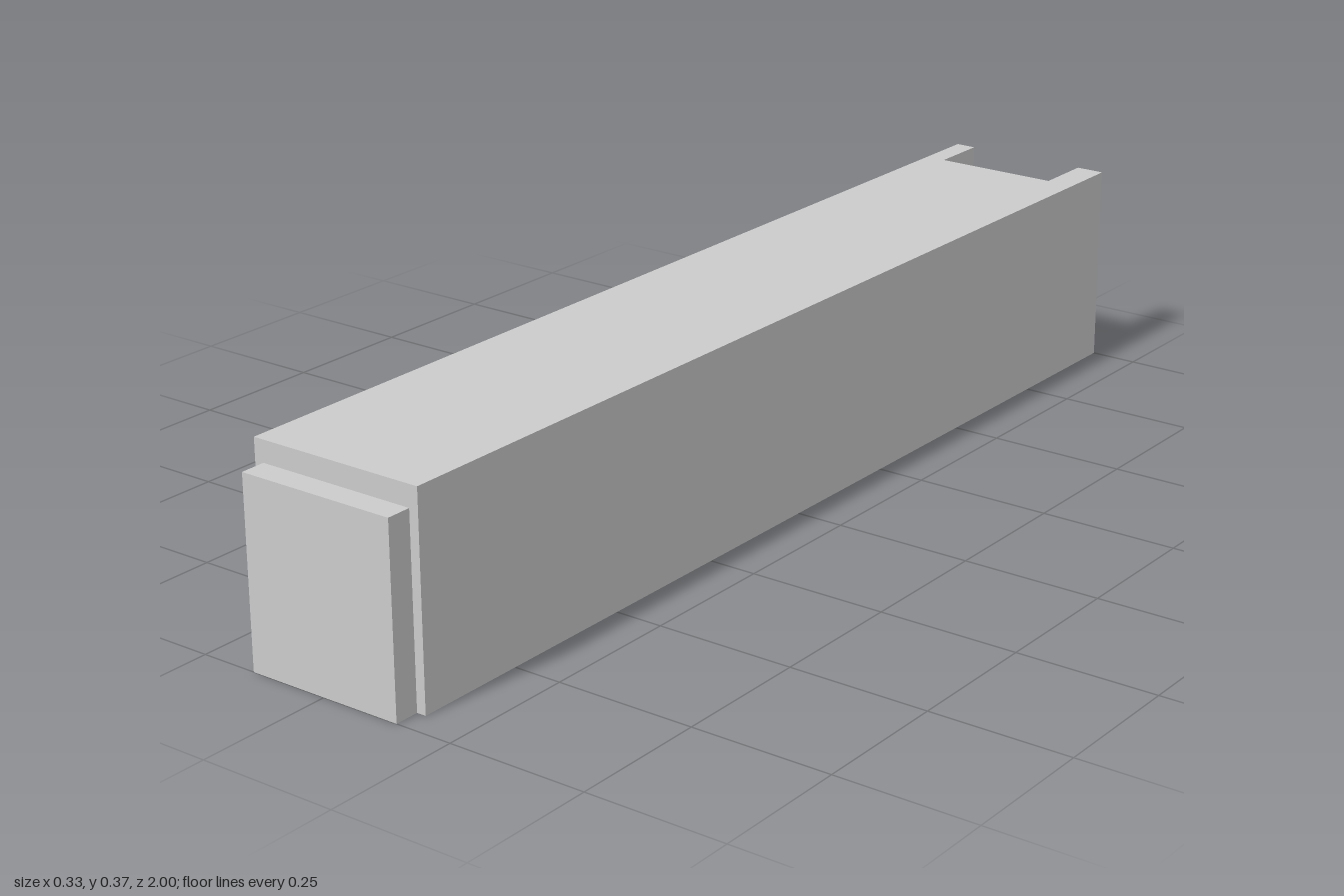
import * as THREE from 'three';

export function createModel() {
  const model = new THREE.Group();
  const mat = new THREE.MeshStandardMaterial({ color: 0xcccccc, flatShading: true });

  const H = 0.367, X = 0.163;            // outer height and half width
  const BACK = -1, FRONT = 0.955;        // ends of the side walls
  const INL = -0.125, INR = 0.11;        // inner faces of the two side walls
  const MOUTH = -0.89, PLATE = 0.062;    // start and thickness of floor and roof

  function add(name, geometry, x = 0, y = 0, z = 0) {
    const mesh = new THREE.Mesh(geometry, mat);
    mesh.name = name;
    mesh.position.set(x, y, z);
    model.add(mesh);
    return mesh;
  }

  // Box given by its two opposite corners
  function block(name, x0, x1, y0, y1, z0, z1) {
    return add(name, new THREE.BoxGeometry(x1 - x0, y1 - y0, z1 - z0),
      (x0 + x1) / 2, (y0 + y1) / 2, (z0 + z1) / 2);
  }

  // Side wall with hexagonal sight holes, drawn in the z-y plane
  const wall = new THREE.Shape([
    new THREE.Vector2(BACK, 0), new THREE.Vector2(FRONT, 0),
    new THREE.Vector2(FRONT, H), new THREE.Vector2(BACK, H),
  ]);
  for (let i = 0; i < 4; i++) {
    const corners = [];
    for (let k = 0; k < 6; k++) {
      const a = -k * Math.PI / 3 - 0.07;
      corners.push(new THREE.Vector2(-0.464 + i * 0.4 + 0.068 * Math.cos(a), 0.183 + 0.066 * Math.sin(a)));
    }
    wall.holes.push(new THREE.Path(corners));
  }
  const wallGeo = new THREE.ExtrudeGeometry(wall, { depth: INL + X, bevelEnabled: false });
  add('windowedSideWall', wallGeo.rotateY(-Math.PI / 2), INL);

  // Plain side wall, floor, roof and closed front end
  block('plainSideWall', INR, X, 0, H, BACK, FRONT);
  block('floor', INL, INR, 0, PLATE, MOUTH, FRONT);
  block('roof', INL, INR, H - PLATE, H, MOUTH, FRONT);
  block('frontWall', INL, INR, PLATE, H - PLATE, FRONT - 0.05, FRONT);
  block('basePlate', -0.146, 0.146, 0, 0.329, FRONT, 1);

  // Two six-sided rounds standing staggered in the mouth
  const profile = [[0, 0.09], [0.063, 0.09], [0.063, 0.225], [0.026, 0.3], [0, 0.3]]
    .map(([r, y]) => new THREE.Vector2(r, y));
  [[-0.06, -0.926, 82], [0.057, -0.875, 90]].forEach(([x, z, turn]) => {
    add('round', new THREE.LatheGeometry(profile, 6, THREE.MathUtils.degToRad(turn)), x, 0, z);
  });

  return model;
}
